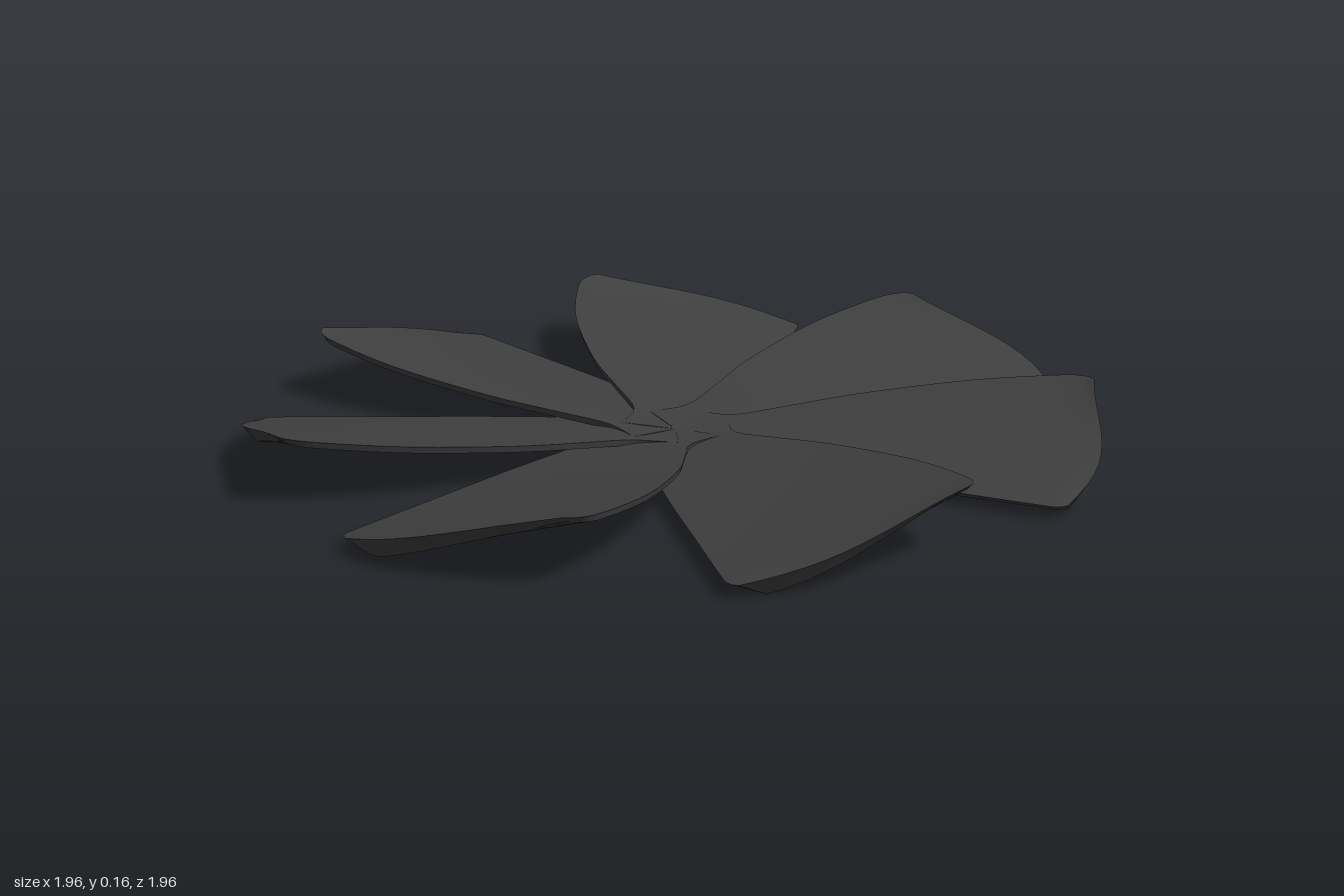
import * as THREE from 'three';
import { toCreasedNormals } from 'three/addons/utils/BufferGeometryUtils.js';

const BLADES = 7, NU = 28, NV = 12;
const curve = (pts) => new THREE.SplineCurve(pts.map(([x, z]) => new THREE.Vector2(x, z)));

// Raised edge and straight low edge of one blade, root to tip, as (x, z)
const highEdge = curve([[0.0, -0.13], [0.1, -0.115], [0.22, -0.18], [0.364, -0.262], [0.6, -0.352],
  [0.8, -0.385], [0.87, -0.378], [0.9, -0.352]]);
const lowEdge = curve([[0.0, 0.1], [0.1, 0.11], [0.25, 0.13], [0.45, 0.15], [0.7, 0.165],
  [0.9, 0.177], [0.95, 0.177], [0.97, 0.16]]);

// Pitched upper surface: u runs root to tip, v from raised to low edge
function upper(u, v) {
  const a = highEdge.getPoint(u), b = lowEdge.getPoint(u);
  const bulge = 0.05 * u ** 6 * Math.sin(Math.PI * v ** 1.4);
  const y = THREE.MathUtils.lerp(0.03 + 0.135 * a.length(), 0.03, v);
  return [a.x + (b.x - a.x) * v + bulge, y, a.y + (b.y - a.y) * v];
}

// Underside, drawn in from the tip and low edge so those become chamfers
function under(u, v) {
  const [x, y, z] = upper(u, 0.01 + v * 0.87);
  return [x * (1 - 0.03 * u ** 4), Math.max(0, y - 0.015 - 0.035 * v), z];
}

function bladeGeometry() {
  const pos = [], index = [], layer = (NU + 1) * (NV + 1);
  const id = (i, j) => i * (NV + 1) + j;
  for (const surface of [upper, under])
    for (let i = 0; i <= NU; i++)
      for (let j = 0; j <= NV; j++) pos.push(...surface(i / NU, j / NV));
  for (let i = 0; i < NU; i++)
    for (let j = 0; j < NV; j++) {
      const a = id(i, j), b = id(i, j + 1), c = id(i + 1, j), d = id(i + 1, j + 1);
      index.push(a, b, c, b, d, c);
      index.push(a + layer, c + layer, b + layer, b + layer, c + layer, d + layer);
    }
  // Rim joining both surfaces
  const rim = [];
  for (let j = 0; j < NV; j++) rim.push(id(0, j));
  for (let i = 0; i < NU; i++) rim.push(id(i, NV));
  for (let j = NV; j > 0; j--) rim.push(id(NU, j));
  for (let i = NU; i > 0; i--) rim.push(id(i, 0));
  rim.forEach((a, k) => {
    const b = rim[(k + 1) % rim.length];
    index.push(a + layer, b + layer, b, a + layer, b, a);
  });
  const geo = new THREE.BufferGeometry();
  geo.setAttribute('position', new THREE.Float32BufferAttribute(pos, 3));
  geo.setIndex(index);
  return toCreasedNormals(geo, 0.5);
}

export function createModel() {
  const group = new THREE.Group();
  group.name = 'fanRotor';
  const material = new THREE.MeshStandardMaterial({ color: 0x3f3f3f });

  // Ring of identical overlapping blades
  const geo = bladeGeometry();
  for (let k = 0; k < BLADES; k++) {
    const blade = new THREE.Mesh(geo, material);
    blade.name = 'blade' + (k + 1);
    blade.rotation.y = (k / BLADES) * Math.PI * 2;
    group.add(blade);
  }

  // Low hub where the roots meet
  const hub = new THREE.Mesh(new THREE.CylinderGeometry(0.12, 0.14, 0.03, 28), material);
  hub.name = 'hub';
  hub.position.y = 0.016;
  group.add(hub);
  return group;
}
